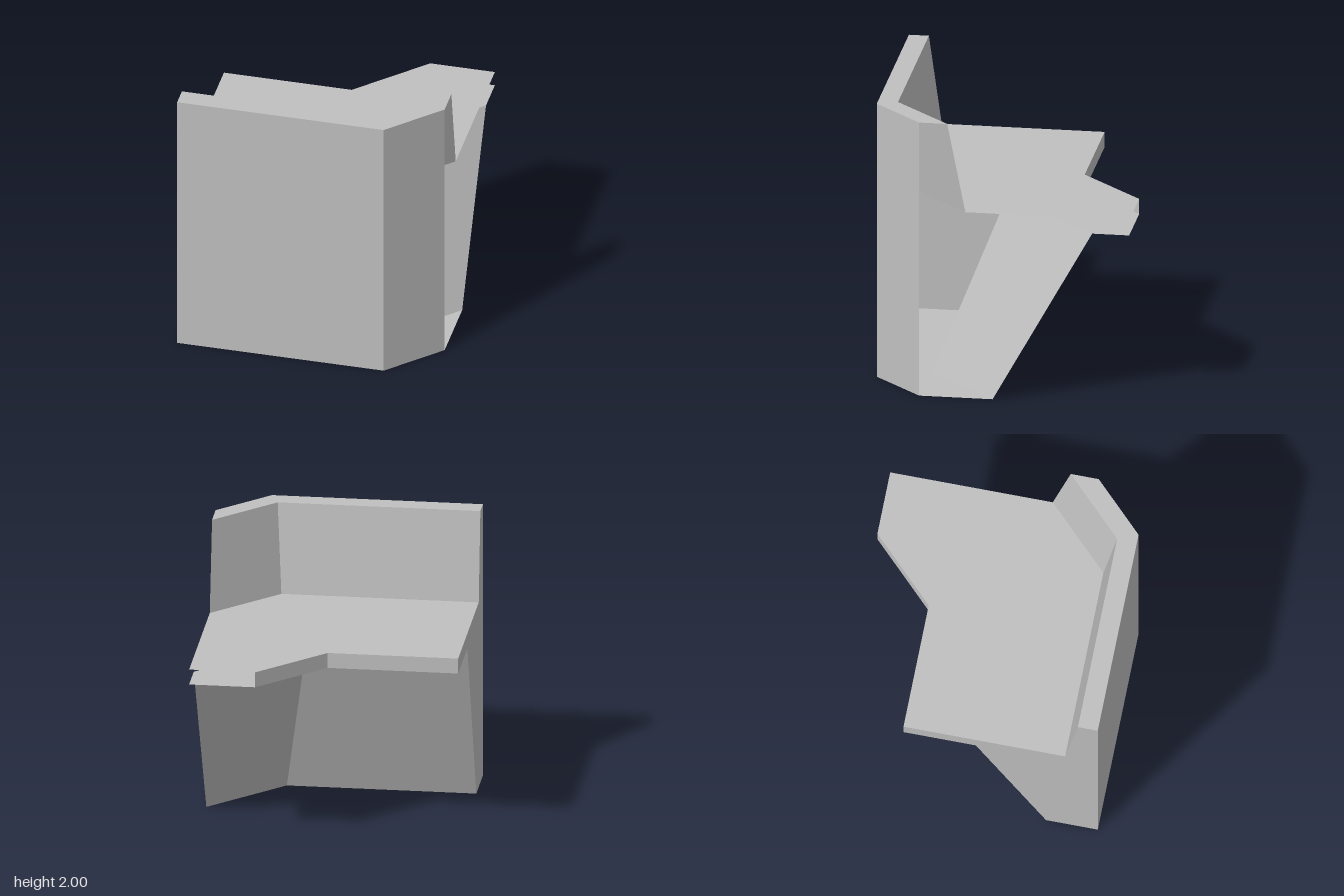
import * as THREE from 'three';

// Bench cross-section as [z, y], with the name of the panel that starts at each point
const PROFILE = [
  [0.91, 0, 'outerWall'],
  [0.91, 2, 'topRail'],
  [0.77, 2, 'backrest'],
  [0.68, 1.36, 'seatTop'],
  [-0.46, 1.36, 'seatEdge'],
  [-0.46, 1.25, 'seatUnderside'],
  [0.05, 1.25, 'baseSlope'],
  [0.545, 0, 'floor'],
];
const SIDE = 0.91; // half width of the square the bench fits in

// Points of one profile corner as it runs straight, then turns 45 degrees
function run([z, y]) {
  const bendX = (z + 0.46) * Math.tan(Math.PI / 8) * 0.988;
  const reach = Math.min(SIDE - bendX, z + SIDE); // clipped at the square
  return {
    start: [-SIDE, y, z],
    bend: [bendX, y, z],
    end: [bendX + reach, y, z - reach],
    clipped: z - reach <= -SIDE + 1e-6,
  };
}

// Flat-shaded geometry from convex polygons
function polygons(list) {
  const positions = [];
  for (const p of list)
    for (let i = 1; i < p.length - 1; i++) positions.push(...p[0], ...p[i], ...p[i + 1]);
  const geometry = new THREE.BufferGeometry();
  geometry.setAttribute('position', new THREE.Float32BufferAttribute(positions, 3));
  geometry.computeVertexNormals();
  return geometry;
}

export function createModel() {
  const group = new THREE.Group();
  group.name = 'cornerBench';
  const grey = new THREE.MeshStandardMaterial({ color: 0xc0c0c0, side: THREE.DoubleSide });
  grey.name = 'grey';

  const add = (name, geometry) => {
    const mesh = new THREE.Mesh(geometry, grey);
    mesh.name = name;
    group.add(mesh);
  };

  // Panels: a straight part and an angled part, open at the angled end
  PROFILE.forEach((point, i) => {
    const a = run(point);
    const b = run(PROFILE[(i + 1) % PROFILE.length]);
    const corner = a.clipped !== b.clipped ? [[SIDE, point[1], -SIDE]] : [];
    add(point[2], polygons([
      [a.start, a.bend, b.bend, b.start],
      [a.bend, a.end, ...corner, b.end, b.bend],
    ]));
  });

  // Closed end of the straight part
  const shape = new THREE.Shape(PROFILE.map(([z, y]) => new THREE.Vector2(z, y)));
  const endPanel = new THREE.ShapeGeometry(shape);
  endPanel.rotateY(-Math.PI / 2).translate(-SIDE, 0, 0);
  add('endPanel', endPanel);

  return group;
}
